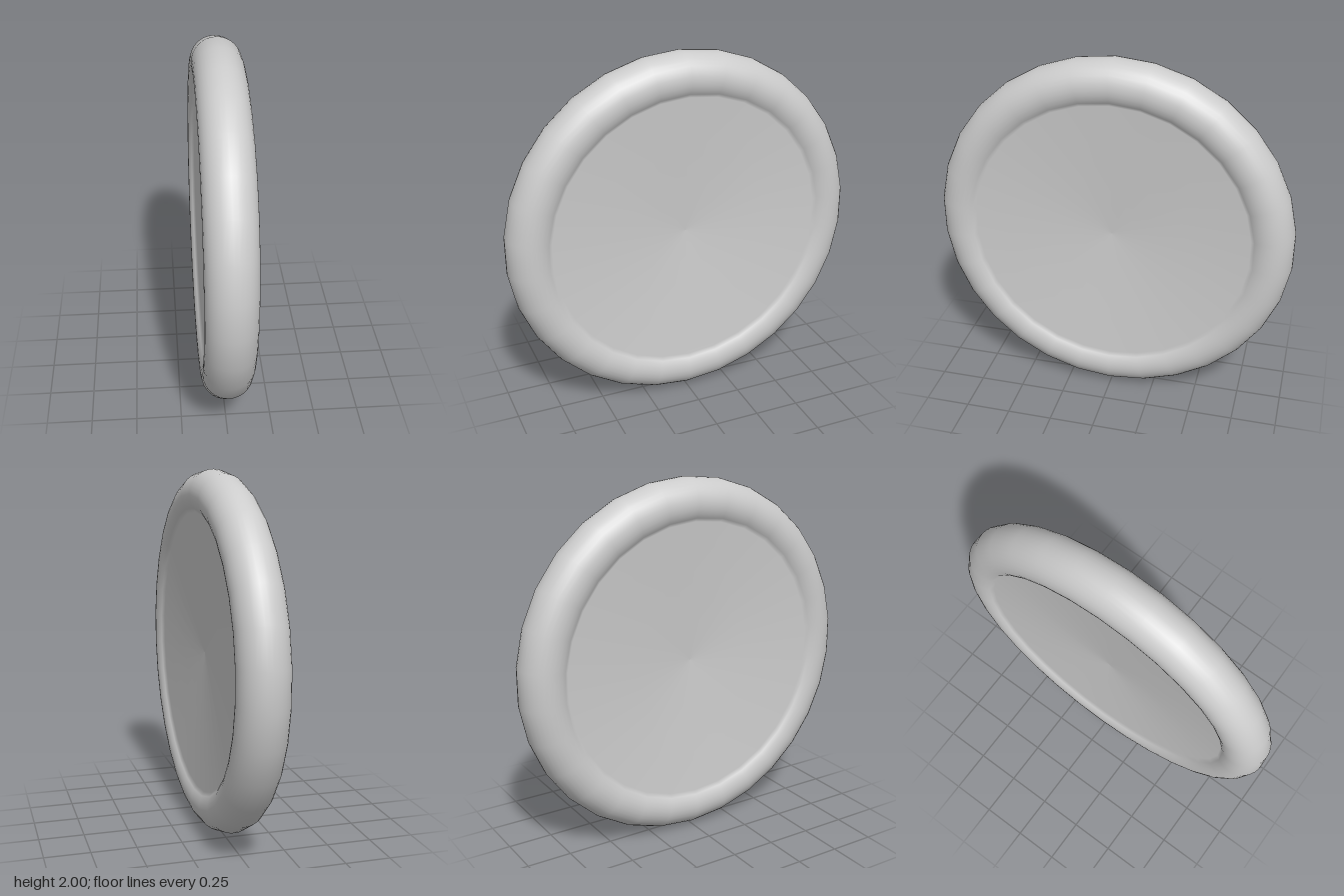
import * as THREE from 'three';

const SIDES = 30;
const TUBE = 0.135;         // radius of the rounded rim
const RING = 1 - TUBE;
const LEAN = 0.75;          // how far the rim curls inward past its crest, in radians
const CENTRE = 0.05;        // half thickness at the middle
const ARC_STEPS = 24;

export function createModel() {
  const group = new THREE.Group();
  group.name = 'biconcaveDisc';

  // Half section: centre of one face, round the rim, centre of the other face
  const profile = [new THREE.Vector2(0, -CENTRE)];
  const sweep = Math.PI / 2 + LEAN;
  for (let i = 0; i <= ARC_STEPS; i++) {
    const a = sweep * (2 * i / ARC_STEPS - 1);
    profile.push(new THREE.Vector2(RING + TUBE * Math.cos(a), TUBE * Math.sin(a)));
  }
  profile.push(new THREE.Vector2(0, CENTRE));

  // Spun section, stood upright with its axis along x
  const geometry = new THREE.LatheGeometry(profile, SIDES);
  geometry.rotateX(Math.PI / 2).rotateY(Math.PI / 2);
  const disc = new THREE.Mesh(geometry, new THREE.MeshStandardMaterial({ color: 0xcccccc }));
  disc.name = 'disc';
  disc.position.y = 1;
  group.add(disc);

  return group;
}
